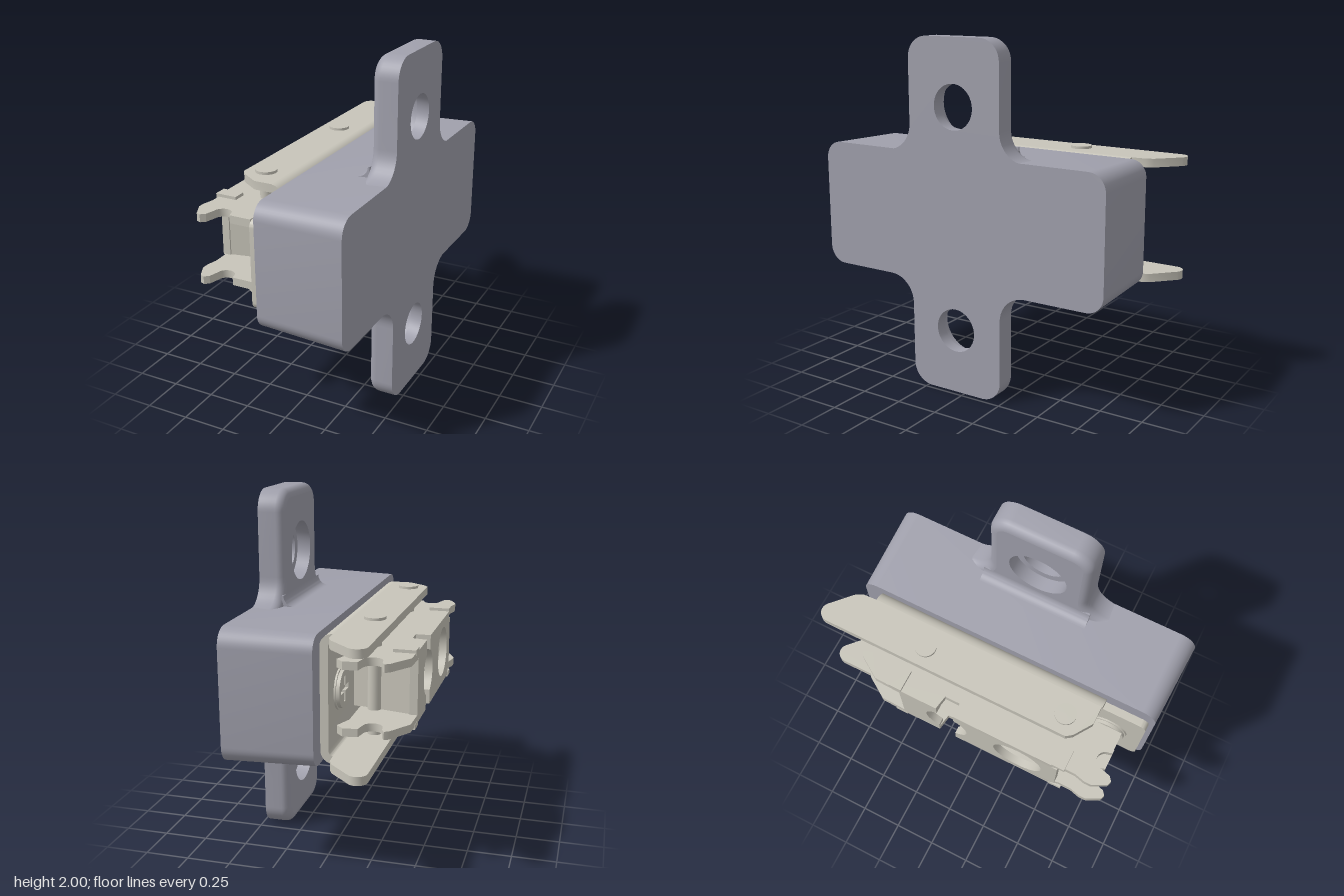
import * as THREE from 'three';
import { toCreasedNormals } from 'three/addons/utils/BufferGeometryUtils.js';

const plastic = new THREE.MeshStandardMaterial({ color: 0xa0a0ac, side: THREE.DoubleSide });
const metal = new THREE.MeshStandardMaterial({ color: 0xc8c5ba, side: THREE.DoubleSide });

function add(parent, name, geometry, material) {
  const mesh = new THREE.Mesh(geometry, material);
  mesh.name = name;
  parent.add(mesh);
  return mesh;
}

// Points along an arc, angles in degrees
function arc(cx, cy, r, a0, a1, n = 10) {
  return Array.from({ length: n + 1 }, (_, i) => {
    const a = THREE.MathUtils.degToRad(a0 + (a1 - a0) * i / n);
    return new THREE.Vector2(cx + r * Math.cos(a), cy + r * Math.sin(a));
  });
}
const P = (...pairs) => pairs.map(([a, b]) => new THREE.Vector2(a, b));

function shapeOf(points, holes = []) {
  const s = new THREE.Shape(points);
  for (const h of holes) s.holes.push(new THREE.Path(h));
  return s;
}
function extrude(points, depth, holes) {
  const g = new THREE.ExtrudeGeometry(shapeOf(points, holes), { depth, bevelEnabled: false });
  return toCreasedNormals(g, 0.6);
}
// Outline in (x, z), thickened downwards from y
const flatPlate = (pts, y, t) => extrude(pts, t).rotateX(Math.PI / 2).translate(0, y, 0);
// Outline in (z, y), thickened towards -x from x
const uprightPlate = (pts, x, t, holes) => extrude(pts, t, holes).rotateY(-Math.PI / 2).translate(x, 0, 0);

// Skin through equal-length (z, y) rings placed at rising x
function loft(rings) {
  const pos = [], idx = [], n = rings[0].pts.length;
  for (const { x, pts } of rings) for (const p of pts) pos.push(x, p.y, p.x);
  for (let k = 0; k < rings.length - 1; k++) {
    for (let i = 0; i < n; i++) {
      const j = (i + 1) % n, a = k * n, b = a + n;
      idx.push(b + i, b + j, a + i, b + j, a + j, a + i);
    }
  }
  const g = new THREE.BufferGeometry();
  g.setAttribute('position', new THREE.Float32BufferAttribute(pos, 3));
  g.setIndex(idx);
  return toCreasedNormals(g, 0.6);
}
const cap = (pts, x, holes) => new THREE.ShapeGeometry(shapeOf(pts, holes)).rotateY(-Math.PI / 2).translate(x, 0, 0);

function roundedRect(z0, z1, y0, y1, r) {
  return [...arc(z1 - r, y0 + r, r, -90, 0), ...arc(z1 - r, y1 - r, r, 0, 90),
    ...arc(z0 + r, y1 - r, r, 90, 180), ...arc(z0 + r, y0 + r, r, 180, 270)];
}

// Tapered block
function block() {
  const g = new THREE.Group();
  g.name = 'block';
  const inner = roundedRect(-0.85, 0.95, 0.65, 1.355, 0.09);
  const outer = roundedRect(-0.865, 0.97, 0.635, 1.37, 0.1);
  add(g, 'blockSides', loft([{ x: -0.03, pts: inner }, { x: 0.47, pts: outer }]), plastic);
  add(g, 'blockFace', cap(inner, -0.03), plastic);
  add(g, 'blockBack', cap(outer, 0.47), plastic);
  return g;
}

// Fastening ear with flared root, soft edge and stepped screw hole
function ear() {
  const g = new THREE.Group();
  g.name = 'fasteningEar';
  const outline = d => [
    ...arc(0.45, 0.52, 0.155 + d, -90, -180), ...arc(0.175, 0.88, 0.12 - d, 0, 90),
    ...arc(-0.175, 0.88, 0.12 - d, 90, 180), ...arc(-0.45, 0.52, 0.155 + d, 0, -90)];
  const rings = [];
  for (let i = 0; i <= 6; i++) {
    const t = i / 6 * Math.PI / 2;
    rings.push({ x: 0.32 + 0.05 * (1 - Math.cos(t)), pts: outline(0.05 * (1 - Math.sin(t))) });
  }
  rings.push({ x: 0.47, pts: outline(0) });
  add(g, 'earEdge', loft(rings), plastic);
  add(g, 'earFace', cap(outline(0.05), 0.32, [arc(0, 0.63, 0.17, 0, 360, 40)]), plastic);
  add(g, 'earBack', cap(outline(0), 0.47, [arc(0, 0.63, 0.125, 0, 360, 40)]), plastic);
  const bore = new THREE.LatheGeometry(P([0.17, 0.32], [0.17, 0.4], [0.125, 0.4], [0.125, 0.47]), 40);
  add(g, 'screwHole', toCreasedNormals(bore, 0.6).rotateZ(-Math.PI / 2).translate(0, 0.63, 0), plastic);
  const root = [...P([0.33, 0.355], [0.33, 0.425]), ...arc(0.26, 0.425, 0.06, 0, -90)];
  add(g, 'earRootFillet', extrude(root, 0.65).translate(0, 0, -0.325), plastic);
  g.position.set(0, 1, 0.055);
  return g;
}

// Fixed outer channel: bent base with two long side flanges
function outerChannel() {
  const g = new THREE.Group();
  g.name = 'outerChannel';
  const section = [
    ...P([-0.1, 0.65]), ...arc(-0.1, 0.72, 0.07, -90, 0), ...arc(-0.1, 1.28, 0.07, 0, 90),
    ...P([-0.1, 1.305]), ...arc(-0.1, 1.28, 0.025, 90, 0), ...arc(-0.1, 0.72, 0.025, 0, -90)];
  add(g, 'channelBase', extrude(section, 1.39).translate(0, 0, -0.73), metal);
  const flange = [
    ...P([-0.1, 0.655], [-0.205, 0.655], [-0.31, 0.585], [-0.335, 0.55], [-0.335, -0.92]),
    ...arc(-0.28, -0.92, 0.055, 180, 310),
    ...P([-0.125, -0.85], [-0.105, -0.81], [-0.1, -0.73])];
  for (const y of [1.35, 0.7]) add(g, 'outerFlange', flatPlate(flange, y, 0.048), metal);
  add(g, 'baseTab', uprightPlate(roundedRect(0.5, 0.92, 0.75, 1.25, 0.04), -0.03, 0.045), metal);
  return g;
}

// Inner channel: forked flanges, pierced web and sloping end walls
function innerChannel() {
  const g = new THREE.Group();
  g.name = 'innerChannel';
  const flange = [
    ...P([-0.47, -0.55], [-0.385, -0.68], [-0.36, -0.695], [-0.345, -0.67]),
    ...arc(-0.285, -0.64, 0.055, 180, 0),
    ...P([-0.22, -0.69], [-0.14, -0.7], [-0.1, -0.66], [-0.14, -0.56], [-0.14, 0.81], [-0.265, 0.81]),
    ...arc(-0.32, 0.795, 0.05, 0, -180),
    ...P([-0.385, 0.85], [-0.41, 0.87], [-0.435, 0.86], [-0.475, 0.78], [-0.475, 0.74], [-0.46, 0.68],
      [-0.46, 0.6], [-0.475, 0.54], [-0.475, -0.06], [-0.39, -0.06], [-0.39, -0.15], [-0.475, -0.165], [-0.475, -0.38])];
  const tab = P([-0.475, 0], [-0.35, 0], [-0.35, 0.075], [-0.475, 0.075]);
  for (const s of [1, -1]) {
    add(g, 'innerFlange', flatPlate(flange, 1 + s * 0.18 + 0.0225, 0.045), metal);
    for (const z of [-0.46, 0.545])
      add(g, 'flangeTab', flatPlate(tab, 1 + s * 0.205 + 0.015, 0.03).translate(0, 0, z), metal);
  }
  // Web in two pieces, each bitten by the round opening at the slot
  const rear = [...P([-0.165, 0.84], [-0.165, 0.88]), ...arc(-0.11, 1, 0.13, 245, 115),
    ...P([-0.165, 1.16], [-0.4, 1.16], [-0.4, 0.84])];
  const front = [...P([-0.06, 1.16], [-0.06, 1.12]), ...arc(-0.11, 1, 0.13, 67, -67),
    ...P([-0.06, 0.84], [0.58, 0.84], [0.58, 1.16])];
  add(g, 'webRear', uprightPlate(rear, -0.43, 0.045), metal);
  add(g, 'webFront', uprightPlate(front, -0.43, 0.045, [arc(0.34, 1, 0.15, 0, 360, 32)]), metal);
  add(g, 'endWallRear', flatPlate(P([-0.475, -0.4], [-0.1, -0.32], [-0.1, -0.28], [-0.475, -0.36]), 1.16, 0.32), metal);
  add(g, 'endWallFront', flatPlate(P([-0.475, 0.58], [-0.1, 0.5], [-0.1, 0.46], [-0.475, 0.54]), 1.16, 0.32), metal);
  return g;
}

// Cross pin with a flat head at each end
function pin(z) {
  const g = new THREE.Group();
  g.name = 'pin';
  add(g, 'pinShaft', new THREE.CylinderGeometry(0.038, 0.038, 0.7, 24), metal);
  for (const s of [1, -1])
    add(g, 'pinHead', new THREE.CylinderGeometry(0.06, 0.06, 0.02, 32).translate(0, s * 0.355, 0), metal);
  g.position.set(-0.225, 1, z);
  return g;
}

// Screw head with a cross recess
function screw(z) {
  const g = new THREE.Group();
  g.name = 'screw';
  const a = 0.015, b = 0.07;
  const cross = P([a, a], [a, b], [-a, b], [-a, a], [-b, a], [-b, -a], [-a, -a], [-a, -b], [a, -b], [a, -a], [b, -a], [b, a]);
  add(g, 'screwHead', uprightPlate(arc(0, 0, 0.115, 0, 360, 32), -0.06, 0.025), metal);
  add(g, 'screwRecess', uprightPlate(arc(0, 0, 0.105, 0, 360, 32), -0.084, 0.02, [cross]), metal);
  g.position.set(0, 1, z);
  return g;
}

export function createModel() {
  const model = new THREE.Group();
  model.name = 'hingeMount';
  const lowerEar = ear();
  lowerEar.rotation.x = Math.PI;
  model.add(block(), ear(), lowerEar, outerChannel(), innerChannel(),
    pin(-0.35), pin(0.5), screw(-0.52), screw(0.72));
  return model;
}
